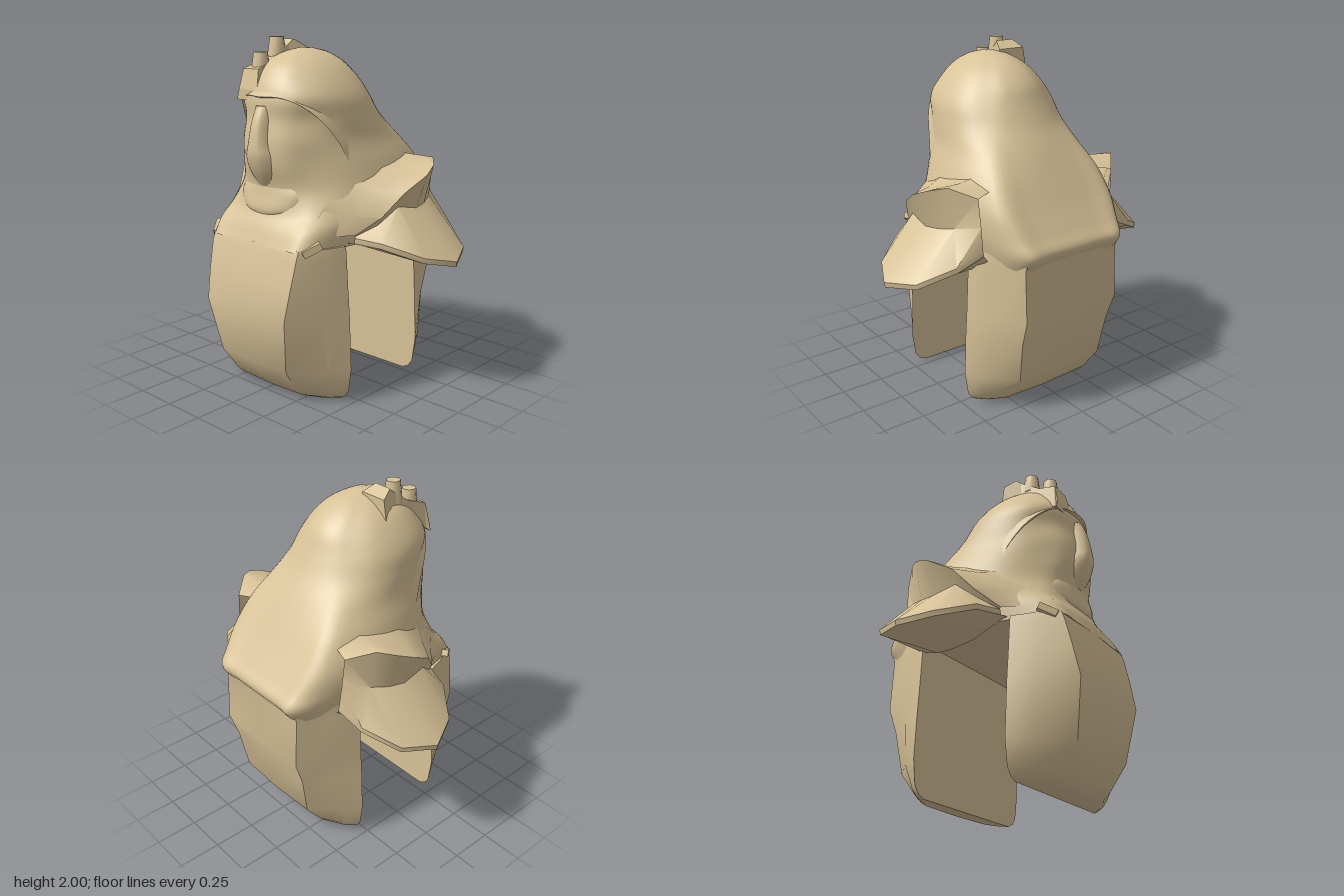
import * as THREE from 'three';
import { toCreasedNormals } from 'three/addons/utils/BufferGeometryUtils.js';

const material = new THREE.MeshStandardMaterial({ color: 0xd8c298, side: THREE.DoubleSide });
const V = (x, y, z) => new THREE.Vector3(x, y, z);
const mix = THREE.MathUtils.lerp;

// Skin a list of point rows; closed rows are rings, optionally capped.
function skin(rows, { closed = true, caps = true, flip = false, crease = 0.5 } = {}) {
  const n = rows[0].length, pos = [], index = [];
  const tri = (a, b, c) => (flip ? index.push(a, c, b) : index.push(a, b, c));
  rows.forEach(r => r.forEach(p => pos.push(p.x, p.y, p.z)));
  for (let i = 0; i < rows.length - 1; i++) {
    for (let j = 0; j < (closed ? n : n - 1); j++) {
      const a = i * n + j, b = i * n + (j + 1) % n;
      tri(a, b, b + n);
      tri(a, b + n, a + n);
    }
  }
  if (caps) {
    [0, rows.length - 1].forEach((r, end) => {
      const c = rows[r].reduce((s, p) => s.add(p), V(0, 0, 0)).divideScalar(n);
      const k = pos.length / 3;
      pos.push(c.x, c.y, c.z);
      for (let j = 0; j < n; j++) {
        const a = r * n + j, b = r * n + (j + 1) % n;
        end ? tri(k, a, b) : tri(k, b, a);
      }
    });
  }
  const g = new THREE.BufferGeometry();
  g.setAttribute('position', new THREE.Float32BufferAttribute(pos, 3));
  g.setIndex(index);
  return toCreasedNormals(g, crease);
}

// Ring at height y from [x, z] points on the left half, front to back.
function ring(y, half) {
  const right = half.filter(p => p[0] > 0).reverse().map(([x, z]) => V(-x, y, z));
  return [...half.map(([x, z]) => V(x, y, z)), ...right];
}

// Smooth a coarse cage of rings around and then along.
function smoothRings(rings, around, along) {
  const fine = rings.map(r => {
    const c = new THREE.CatmullRomCurve3(r, true, 'centripetal');
    return Array.from({ length: around }, (_, i) => c.getPoint(i / around));
  });
  const columns = fine[0].map((_, j) => new THREE.CatmullRomCurve3(fine.map(r => r[j]), false, 'centripetal'));
  return Array.from({ length: along + 1 }, (_, i) => columns.map(c => c.getPoint(i / along)));
}

export function createModel() {
  const model = new THREE.Group();
  const add = (name, geometry) => {
    const m = new THREE.Mesh(geometry, material);
    m.name = name;
    model.add(m);
    return m;
  };

  // Hanging chest and back plates: [y, outer z, panel half width, side half width]
  const plate = (rows, inner) => rows.map(([y, z, wf, ws]) => {
    const mid = [mix(ws, wf, 0.32), mix(inner, z, 0.42)];
    const half = [[0, z], [wf, z - Math.sign(z) * 0.012], mid, [ws, inner], [0, inner]];
    return ring(y, inner > 0 ? half : half.reverse());
  });
  add('chestPlate', skin(plate([
    [0, 0.42, 0.24, 0.4], [0.02, 0.46, 0.245, 0.44], [0.06, 0.5, 0.25, 0.47], [0.2, 0.6, 0.26, 0.49],
    [0.52, 0.66, 0.31, 0.475], [0.7, 0.625, 0.325, 0.46], [0.85, 0.59, 0.335, 0.45], [0.9, 0.572, 0.335, 0.445],
  ], 0.305), { crease: 0.6 }));
  add('backPlate', skin(plate([
    [0, -0.38, 0.27, 0.4], [0.02, -0.41, 0.28, 0.44], [0.06, -0.45, 0.28, 0.47], [0.2, -0.555, 0.29, 0.49],
    [0.45, -0.6, 0.31, 0.48], [0.6, -0.65, 0.32, 0.47], [0.9, -0.635, 0.32, 0.455], [0.975, -0.66, 0.32, 0.445],
  ], -0.285), { crease: 0.6 }));

  // Torso, face and domed helmet: [y, front z, cheek x, z, side x, z, back corner x, z, back z]
  const cage = [
    [0.89, 0.575, 0.335, 0.56, 0.445, 0.05, 0.31, -0.61, -0.615],
    [0.98, 0.54, 0.34, 0.5, 0.46, 0.03, 0.32, -0.66, -0.665],
    [1.06, 0.5, 0.33, 0.42, 0.48, 0, 0.34, -0.605, -0.615],
    [1.18, 0.485, 0.27, 0.39, 0.48, -0.05, 0.36, -0.52, -0.535],
    [1.32, 0.52, 0.25, 0.39, 0.44, -0.05, 0.34, -0.42, -0.45],
    [1.45, 0.52, 0.24, 0.4, 0.385, 0, 0.29, -0.31, -0.37],
    [1.57, 0.5, 0.23, 0.39, 0.36, 0.08, 0.24, -0.21, -0.29],
    [1.68, 0.495, 0.23, 0.41, 0.335, 0.12, 0.21, -0.15, -0.23],
    [1.78, 0.455, 0.19, 0.37, 0.275, 0.14, 0.17, -0.1, -0.18],
    [1.86, 0.39, 0.14, 0.32, 0.2, 0.15, 0.13, -0.03, -0.1],
    [1.915, 0.29, 0.08, 0.25, 0.11, 0.15, 0.07, 0.04, 0],
    [1.94, 0.19, 0.02, 0.18, 0.03, 0.15, 0.02, 0.12, 0.11],
  ].map(([y, zf, fx, fz, w, sz, bx, bz, zb]) => ring(y, [
    [0, zf], [fx * 0.6, mix(zf, fz, 0.3)], [fx, fz], [mix(fx, w, 0.7), mix(fz, sz, 0.4)], [w, sz],
    [mix(bx, w, 0.75), mix(bz, sz, 0.4)], [bx, bz], [bx * 0.6, mix(zb, bz, 0.3)], [0, zb]]));
  add('torsoAndHead', skin(smoothRings(cage, 64, 55), { crease: 0.6 }));

  // Thin helmet lip arching over the face
  const rim = [[0, 1.69, 0.515], [0.12, 1.69, 0.485], [0.22, 1.655, 0.43], [0.3, 1.57, 0.345], [0.35, 1.45, 0.26], [0.39, 1.3, 0.19]];
  const rimPath = [...rim.slice(1).reverse().map(([x, y, z]) => V(-x, y, z)), ...rim.map(p => V(...p))];
  const rimEdge = new THREE.CatmullRomCurve3(rimPath).getPoints(32);
  const rimRow = (scale, dy, dz) => rimEdge.map(p => V(p.x * scale, p.y + dy, p.z + dz));
  add('helmetRim', skin([rimRow(0.93, -0.015, -0.04), rimRow(1, 0, 0), rimRow(0.98, 0.05, -0.06)],
    { closed: false, caps: false }));

  // Nose guard and chin: [y, front z, half width]
  const ridge = rows => smoothRings(rows.map(([y, z, w]) =>
    ring(y, [[0, z], [w * 0.6, z - 0.015], [w, 0.44], [0, 0.4]])), 18, 16);
  add('noseGuard', skin(ridge([[1.2, 0.49, 0.08], [1.28, 0.54, 0.1], [1.37, 0.572, 0.095], [1.43, 0.572, 0.075], [1.56, 0.548, 0.06], [1.64, 0.515, 0.055]])));
  add('chin', skin(ridge([[1.03, 0.5, 0.12], [1.07, 0.51, 0.2], [1.15, 0.495, 0.22], [1.21, 0.485, 0.18]])));

  // Flared shoulders; strips from collar over the rim, into the recess, out to the lip and under
  const collar = [[0.34, 0.99, 0.47], [0.34, 1.1, 0.38], [0.38, 1.23, 0.22], [0.41, 1.3, 0.02], [0.42, 1.32, -0.13], [0.4, 1.34, -0.25], [0.36, 1.3, -0.38]];
  const edge = [[0.47, 0.955, 0.26], [0.57, 1.05, 0.16], [0.64, 1.18, 0.05], [0.68, 1.265, -0.1], [0.65, 1.305, -0.2], [0.58, 1.33, -0.29], [0.47, 1.28, -0.41]];
  const shoulderTop = edge.map((e, i) => e.map((v, k) => mix(collar[i][k], v, 0.5) - (k === 1 && i < 5 ? 0.015 : 0)));
  const recess = [[0.46, 0.945, 0.25], [0.55, 1.01, 0.16], [0.6, 1.1, 0.05], [0.61, 1.07, -0.1], [0.59, 1.08, -0.2], [0.55, 1.1, -0.3], [0.46, 1.12, -0.42]];
  const lip = [[0.47, 0.94, 0.26], [0.62, 0.925, 0.21], [0.8, 0.85, 0.07], [0.885, 0.81, -0.11], [0.8, 0.84, -0.3], [0.62, 0.93, -0.42], [0.47, 1.0, -0.45]];
  const lower = lip.map(([x, y, z]) => [x - 0.005, y - 0.03, z]);
  const under = [[0.42, 0.91, 0.28], [0.43, 0.88, 0.18], [0.43, 0.83, 0.05], [0.43, 0.81, -0.1], [0.43, 0.815, -0.2], [0.43, 0.84, -0.3], [0.42, 0.92, -0.42]];
  for (const s of [1, -1]) {
    const side = s > 0 ? 'left' : 'right';
    const strips = [under, lower, lip, recess, edge, shoulderTop, collar].map(r => r.map(([x, y, z]) => V(s * x, y, z)));
    add(side + 'Shoulder', skin(strips, { closed: false, caps: false, flip: s < 0, crease: 0.7 }));
    // Strap clip where chest plate and shoulder meet
    const clip = add(side + 'Clip', new THREE.BoxGeometry(0.11, 0.04, 0.05));
    clip.position.set(s * 0.37, 0.905, 0.495);
    clip.rotation.set(0, s * 0.94, s * 0.45);
  }

  // Sight mount on the helmet's right: [z, bottom y, top y, half width]
  const mount = [[0.475, 1.66, 1.72, 0.09], [0.45, 1.68, 1.83, 0.075], [0.33, 1.74, 1.87, 0.055], [0.2, 1.8, 1.96, 0.055], [0.17, 1.8, 1.985, 0.07], [0.1, 1.83, 1.945, 0.105]];
  add('sightMount', skin(mount.map(([z, b, t, w]) =>
    [V(-0.125 - w, b, z), V(-0.125 - w * 0.8, t, z), V(-0.125 + w * 0.8, t, z), V(-0.125 + w, b, z)]), { flip: true, crease: 0.2 }));
  for (const [x, top, z] of [[-0.125, 2, 0.25], [-0.12, 1.92, 0.38]]) {
    add('sightLens', toCreasedNormals(new THREE.CylinderGeometry(0.04, 0.055, 0.12, 10), 0.8)).position.set(x, top - 0.06, z);
  }
  return model;
}
